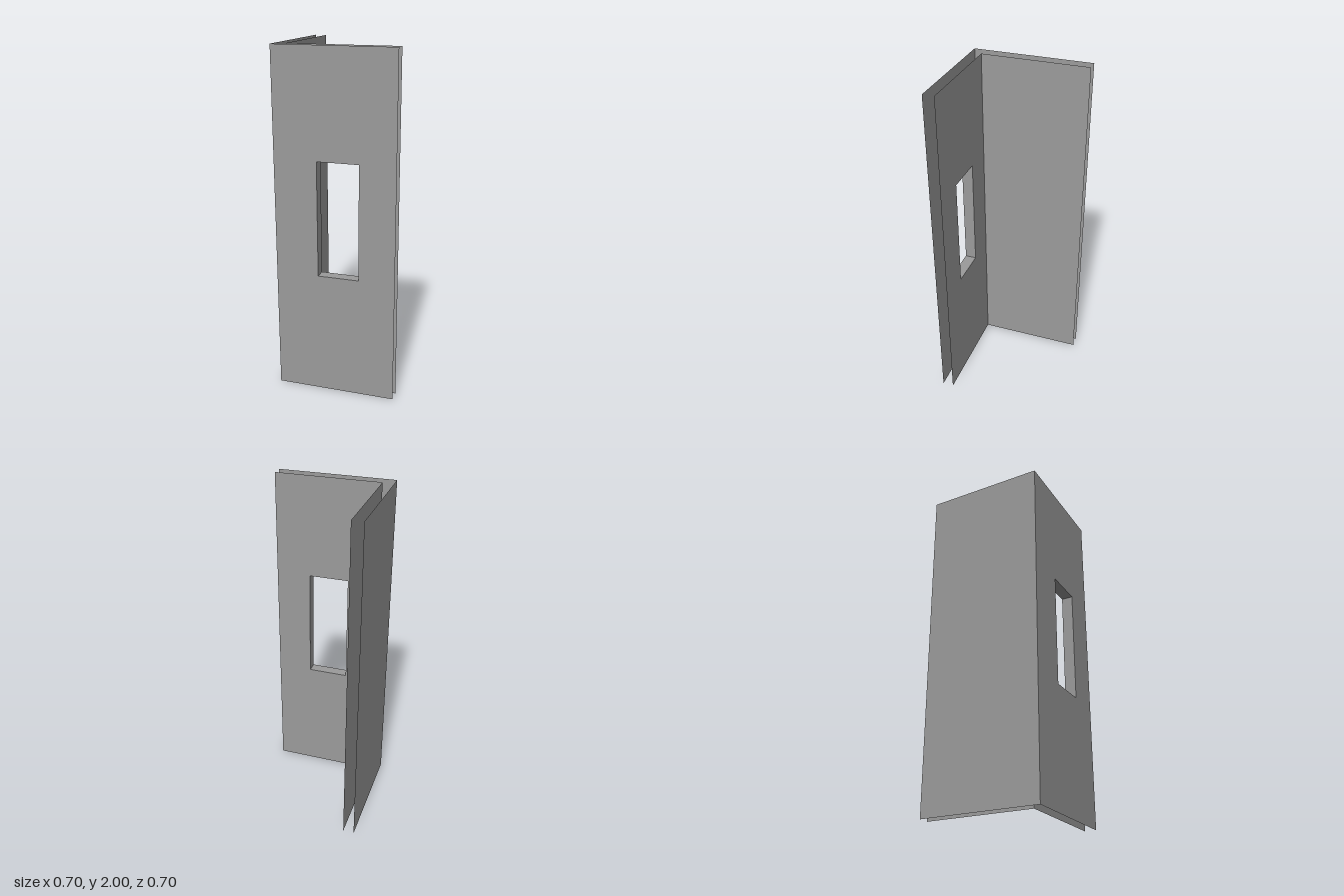
import * as THREE from 'three';

// Hollow L-shaped corner wall: outer and inner skins, open at every rim, with a window through the front.
const H = 2, E = 0.349, T = 0.066;          // height, outer half width, wall thickness
const W = { x0: -0.099, x1: 0.141, y0: 0.717, y1: 1.383 };

export function createModel() {
  const group = new THREE.Group();
  const material = new THREE.MeshStandardMaterial({ color: 0x9b9b9b, side: THREE.DoubleSide });

  const add = (name, geometry) => {
    const mesh = new THREE.Mesh(geometry, material);
    mesh.name = name;
    group.add(mesh);
    return mesh;
  };
  const points = list => list.map(p => new THREE.Vector2(...p));

  // Front skin with the window opening cut out
  const frontSkin = (name, right, z) => {
    const shape = new THREE.Shape(points([[right, 0], [E, 0], [E, H], [right, H]]));
    shape.holes.push(new THREE.Path(points([[W.x0, W.y0], [W.x0, W.y1], [W.x1, W.y1], [W.x1, W.y0]])));
    add(name, new THREE.ShapeGeometry(shape)).position.z = z;
  };

  // Plain side skin, running from the corner to the back
  const sideSkin = (name, x, front, turn) => {
    const mesh = add(name, new THREE.PlaneGeometry(front + E, H));
    mesh.rotation.y = turn * Math.PI / 2;
    mesh.position.set(x, H / 2, (front - E) / 2);
  };

  frontSkin('frontWallOuter', -E, E);
  frontSkin('frontWallInner', -E + T, E - T);
  sideSkin('sideWallOuter', -E, E, -1);
  sideSkin('sideWallInner', -E + T, E - T, 1);

  // Window reveals joining the two front skins
  const cx = (W.x0 + W.x1) / 2, cy = (W.y0 + W.y1) / 2, cz = E - T / 2;
  for (const [name, y, turn] of [['windowSill', W.y0, -1], ['windowHead', W.y1, 1]]) {
    const mesh = add(name, new THREE.PlaneGeometry(W.x1 - W.x0, T));
    mesh.rotation.x = turn * Math.PI / 2;
    mesh.position.set(cx, y, cz);
  }
  for (const [name, x, turn] of [['windowJambRight', W.x0, 1], ['windowJambLeft', W.x1, -1]]) {
    const mesh = add(name, new THREE.PlaneGeometry(T, W.y1 - W.y0));
    mesh.rotation.y = turn * Math.PI / 2;
    mesh.position.set(x, cy, cz);
  }
  return group;
}
